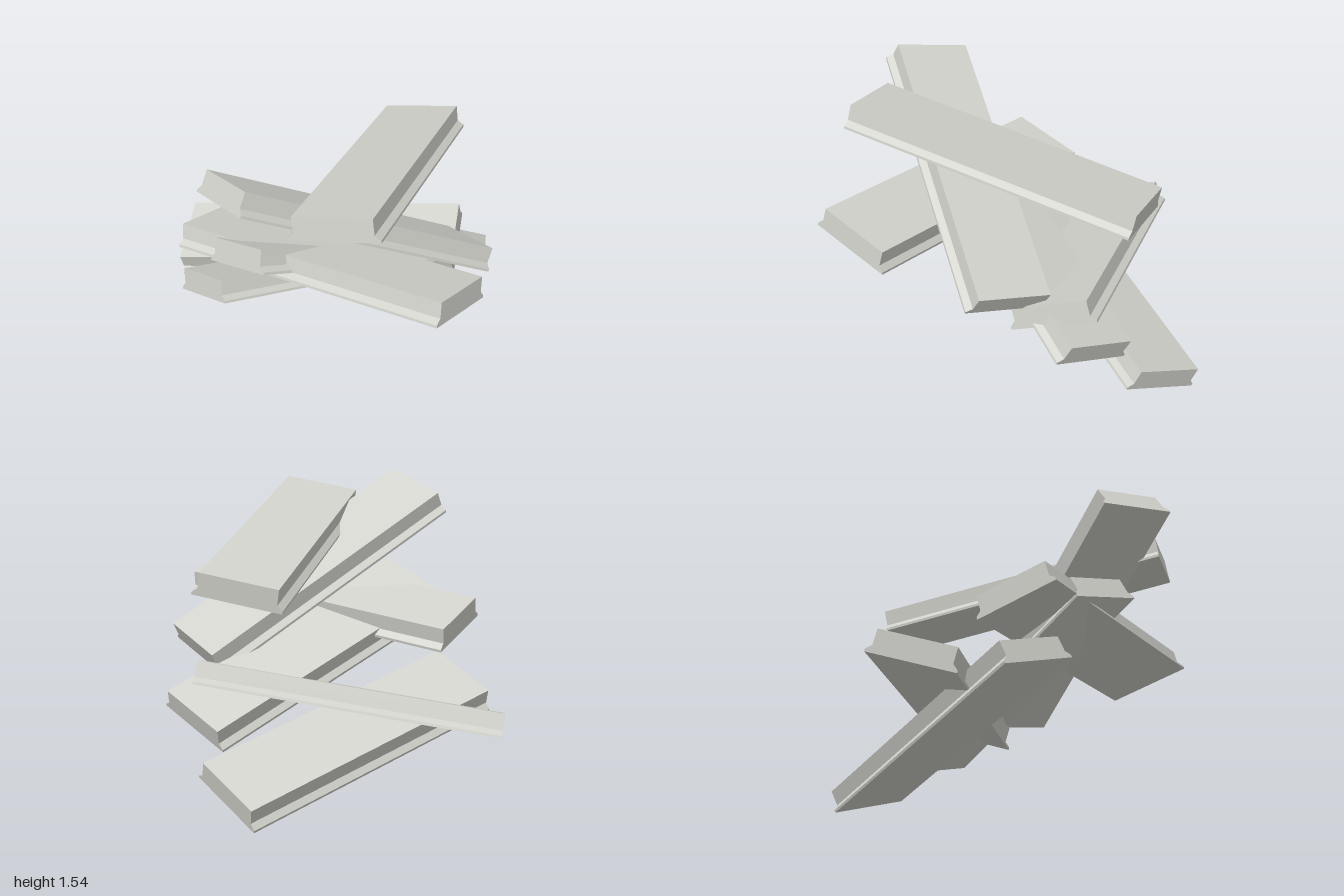
import * as THREE from 'three';

const LENGTH = 1.59, HALF = 0.205, THICK = 0.125, LIP = 0.03;

// Plank cross-section: a flat board with a thin sloped lip along each lower edge
function plankGeometry() {
  const half = [[HALF + LIP, 0], [HALF + LIP, 0.014], [HALF, 0.04], [HALF, THICK]];
  const pts = [...half, ...half.map(([x, y]) => [-x, y]).reverse()];
  const shape = new THREE.Shape(pts.map(([x, y]) => new THREE.Vector2(x, y - THICK)));
  const geo = new THREE.ExtrudeGeometry(shape, { depth: LENGTH, bevelEnabled: false });
  geo.translate(0, 0, -LENGTH / 2);
  return geo;
}

// Each plank: one top corner, the corner along its length, the corner across its width
const PLANKS = [
  ['bottomPlank', [-0.636, 0.593, 0.11], [0.697, 0.27, -0.69], [-0.853, 0.449, -0.2]],
  ['backPlank', [-0.89, 0.387, -0.4], [0.635, 0.605, -0.01], [-0.82, 0.502, -0.78]],
  ['slopingPlank', [0.872, 0.541, -0.33], [-0.4, 1.057, 0.478], [0.622, 0.411, -0.63]],
  ['middlePlank', [0.46, 1.06, 0.944], [-0.82, 0.915, 0.03], [0.7, 0.968, 0.622]],
  ['steepPlank', [-0.463, 1.54, 0.674], [0.827, 0.787, 0.135], [-0.655, 1.448, 0.33]],
  ['topPlank', [0.135, 1.485, 0.85], [0.7, 1.23, -0.62], [-0.25, 1.416, 0.709]],
];

export function createModel() {
  const group = new THREE.Group();
  const paleGrey = new THREE.MeshStandardMaterial({ color: 0xd2d2cc });
  paleGrey.name = 'paleGrey';
  const geo = plankGeometry();

  for (const [name, a, b, c] of PLANKS) {
    const corner = new THREE.Vector3(...a);
    const along = new THREE.Vector3(...b).sub(corner);
    const across = new THREE.Vector3(...c).sub(corner);
    const centre = corner.clone().addScaledVector(along, 0.5).addScaledVector(across, 0.5);

    // Square axes for the board, with its top facing up
    const z = along.normalize();
    const x = across.addScaledVector(z, -across.dot(z)).normalize();
    const y = new THREE.Vector3().crossVectors(z, x);
    if (y.y < 0) { y.negate(); z.negate(); }

    const plank = new THREE.Mesh(geo, paleGrey);
    plank.name = name;
    plank.quaternion.setFromRotationMatrix(new THREE.Matrix4().makeBasis(x, y, z));
    plank.position.copy(centre);
    group.add(plank);
  }
  return group;
}
